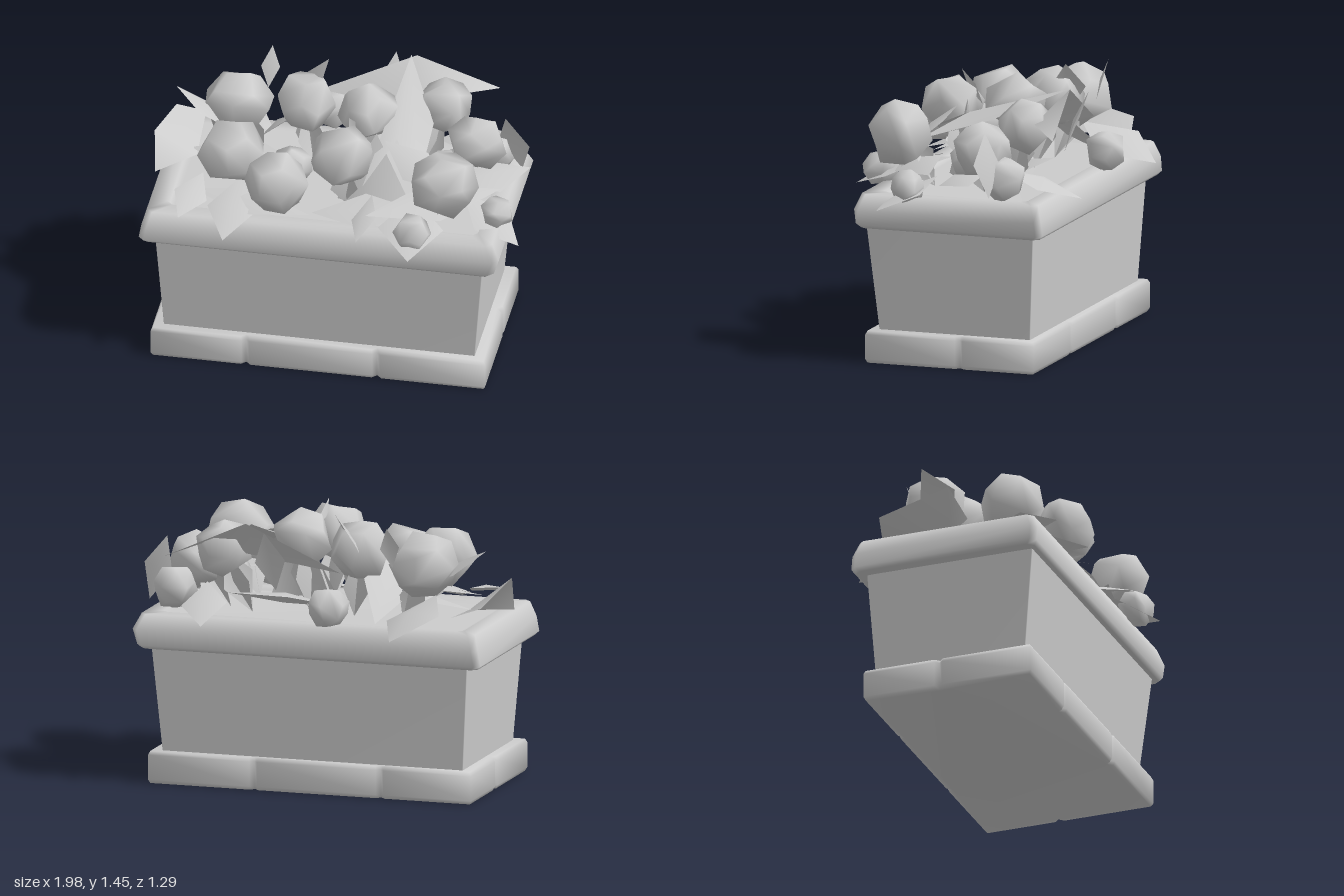
import * as THREE from 'three';
import { mergeVertices, toCreasedNormals } from 'three/addons/utils/BufferGeometryUtils.js';

const stone = new THREE.MeshStandardMaterial({ color: 0xcccccc, side: THREE.DoubleSide });
stone.name = 'pale grey';

// Smoothly shaded loft through rectangles [y, x0, x1, z0, z1] with corners cut by c
function loft(levels, c, capTop) {
  const pos = [], idx = [];
  for (const [y, x0, x1, z0, z1] of levels) {
    pos.push(x0 + c, y, z1, x1 - c, y, z1, x1, y, z1 - c, x1, y, z0 + c);
    pos.push(x1 - c, y, z0, x0 + c, y, z0, x0, y, z0 + c, x0, y, z1 - c);
  }
  for (let l = 0; l < levels.length - 1; l++) {
    for (let i = 0; i < 8; i++) {
      const a = l * 8 + i, b = l * 8 + (i + 1) % 8;
      idx.push(a, b, b + 8, a, b + 8, a + 8);
    }
  }
  const t = (levels.length - 1) * 8;
  if (capTop) for (let i = 1; i < 7; i++) idx.push(t, t + i, t + i + 1);
  const g = new THREE.BufferGeometry();
  g.setAttribute('position', new THREE.Float32BufferAttribute(pos, 3));
  g.setIndex(idx);
  g.computeVertexNormals();
  return g;
}

// Foot slab whose outline is nicked where the blocks meet
function footGeometry() {
  const x0 = -0.92, x1 = 0.825, z0 = -0.465, z1 = 0.445, n = 0.025;
  const outline = [[x0, z1]];
  for (const x of [-0.43, 0.26]) outline.push([x - n, z1], [x, z1 - n], [x + n, z1]);
  outline.push([x1, z1], [x1, -0.06 + n], [x1 - n, -0.06], [x1, -0.06 - n], [x1, z0]);
  for (const x of [0.26, -0.43]) outline.push([x + n, z0], [x, z0 + n], [x - n, z0]);
  outline.push([x0, z0], [x0, -0.06 - n], [x0 + n, -0.06], [x0, -0.06 + n]);
  const shape = new THREE.Shape(outline.map(([x, z]) => new THREE.Vector2(x, -z)));
  const g = new THREE.ExtrudeGeometry(shape, {
    depth: 0.13, bevelEnabled: true, bevelSize: 0.01, bevelThickness: 0.02, bevelSegments: 1,
  });
  g.rotateX(-Math.PI / 2);
  g.translate(0, 0.02, 0);
  return toCreasedNormals(g, 1.7);
}

// Chunky faceted bloom with smooth shading
function bloomGeometry(seed) {
  let g = new THREE.DodecahedronGeometry(1, 0);
  g.deleteAttribute('uv');
  g.deleteAttribute('normal');
  g = mergeVertices(g, 1e-3);
  const p = g.attributes.position;
  for (let i = 0; i < p.count; i++) {
    const k = 1 + 0.07 * Math.sin(i * 4.3 + seed * 2.1);
    p.setXYZ(i, p.getX(i) * k, p.getY(i) * k, p.getZ(i) * k);
  }
  g.computeVertexNormals();
  return g;
}

// Folded diamond leaf from base to tip; roll turns it about its length
function leafGeometry(base, tip, half, roll) {
  const a = new THREE.Vector3(...base), b = new THREE.Vector3(...tip);
  const dir = b.clone().sub(a).normalize();
  const side = new THREE.Vector3(0, 1, 0).cross(dir).normalize().applyAxisAngle(dir, roll);
  const up = dir.clone().cross(side);
  const mid = a.clone().lerp(b, 0.5);
  const ridge = mid.clone().addScaledVector(up, half * 0.25);
  const l = mid.clone().addScaledVector(side, half);
  const r = mid.clone().addScaledVector(side, -half);
  const g = new THREE.BufferGeometry().setFromPoints([a, l, b, r, ridge]);
  g.setIndex([0, 4, 1, 1, 4, 2, 2, 4, 3, 3, 4, 0]);
  g.computeVertexNormals();
  return g;
}

// Broad leaf fanned from its first corner
function broadLeafGeometry(corners) {
  const g = new THREE.BufferGeometry().setFromPoints(corners.map((c) => new THREE.Vector3(...c)));
  const idx = [];
  for (let i = 1; i < corners.length - 1; i++) idx.push(0, i, i + 1);
  g.setIndex(idx);
  g.computeVertexNormals();
  return g;
}

// Blooms: x, y, z, radius
const blooms = [
  [-0.59, 1.2, -0.21, 0.18], [-0.55, 1.16, 0.2, 0.175], [-0.23, 1.25, -0.19, 0.165],
  [-0.28, 1.12, 0.4, 0.165], [0.05, 1.23, 0.26, 0.17], [0.11, 1.28, -0.11, 0.16],
  [0.6, 1.18, 0.35, 0.18], [0.68, 1.14, -0.14, 0.155], [0.48, 1.24, -0.3, 0.15],
];

// Low buds on the soil and over the rim
const buds = [
  [-0.24, 1.08, 0.17, 0.11], [0.53, 1.05, 0.0, 0.1], [-0.16, 1.0, -0.51, 0.11],
  [0.46, 0.96, 0.5, 0.1], [0.85, 0.95, 0.22, 0.09], [0.75, 1.01, -0.28, 0.12],
];

// Leaves: base, tip, half width, roll
const outerLeaves = [
  [[-0.6, 1.08, -0.1], [-0.91, 1.28, -0.16], 0.1, 0.3],
  [[-0.65, 1.04, -0.2], [-0.54, 0.87, -0.65], 0.17, 0.2],
  [[-0.5, 1.0, 0.2], [-0.52, 0.87, 0.62], 0.13, 0],
  [[-0.7, 1.0, 0.2], [-0.77, 0.93, 0.54], 0.09, -0.2],
  [[0.2, 1.0, 0.25], [0.18, 0.93, 0.6], 0.07, 0.3],
  [[0.42, 1.02, 0.25], [0.46, 0.87, 0.64], 0.17, 0],
  [[0.66, 0.98, 0.12], [0.99, 0.84, 0.34], 0.12, 0.1],
  [[0.6, 0.98, 0.05], [0.96, 1.0, -0.16], 0.12, 0.2],
  [[0.9, 0.93, -0.25], [0.82, 1.26, -0.2], 0.1, 0.6],
  [[0.6, 1.03, -0.2], [0.5, 0.88, -0.62], 0.12, 0.1],
];
const innerLeaves = [
  [[0.08, 1.25, 0.08], [0.07, 1.43, 0.2], 0.03, 1.2],
  [[-0.46, 1.2, -0.35], [-0.45, 1.42, -0.42], 0.05, 0.4],
  [[-0.3, 1.15, -0.25], [-0.13, 1.45, -0.3], 0.1, 0.2],
  [[0.16, 1.05, -0.4], [0.18, 1.38, -0.54], 0.08, 0.3],
  [[0.25, 1.28, 0.15], [0.6, 1.1, 0.3], 0.1, 0.5],
  [[-0.82, 0.95, -0.1], [-0.2, 1.0, 0.05], 0.14, 0.2],
  [[-0.4, 0.92, -0.46], [-0.35, 1.2, 0], 0.12, 0.6],
  [[0.2, 1.0, 0.45], [0.85, 1.02, 0.1], 0.13, 0.3],
  [[-0.75, 0.95, 0.28], [-0.1, 0.95, 0.42], 0.1, 0.2],
  [[-0.1, 0.92, 0.35], [0.45, 0.97, 0.3], 0.12, 0.3],
  [[-0.1, 0.92, -0.1], [0.45, 1.0, -0.3], 0.15, 0.3],
];
const broadLeaves = [
  [[0.3, 1.41, -0.48], [-0.2, 1.17, -0.43], [0.3, 1.2, -0.28], [0.57, 1.27, -0.38], [0.73, 1.22, -0.54]],
  [[0.27, 1.41, -0.48], [0.17, 1.12, 0.36], [0.3, 1.25, 0.08], [0.45, 1.12, 0.3], [0.46, 1.25, -0.1]],
  [[0.2, 1.3, 0.12], [0.0, 0.9, 0.16], [0.2, 0.9, 0.22], [0.36, 0.9, 0.1]],
  [[-0.78, 0.94, -0.05], [-0.97, 0.92, 0.12], [-0.99, 1.11, 0.02], [-0.95, 1.02, -0.38], [-0.8, 0.97, -0.42]],
];

export function createModel() {
  const model = new THREE.Group();
  model.name = 'flowerPlanter';
  const add = (name, geometry) => {
    const m = new THREE.Mesh(geometry, stone);
    m.name = name;
    model.add(m);
    return m;
  };

  // Planter box
  add('foot', footGeometry());
  add('body', loft([[0.16, -0.87, 0.77, -0.43, 0.4], [0.73, -0.905, 0.82, -0.465, 0.455]], 0.004, false));
  add('rim', loft([
    [0.725, -0.88, 0.8, -0.44, 0.43], [0.72, -0.97, 0.87, -0.51, 0.48],
    [0.74, -0.99, 0.885, -0.53, 0.5], [0.82, -0.975, 0.91, -0.53, 0.5],
    [0.9, -0.95, 0.87, -0.5, 0.47], [0.9, -0.86, 0.78, -0.41, 0.38], [0.88, -0.85, 0.77, -0.4, 0.37],
  ], 0.03, true));

  // Blooms, each carried by a pair of crossed stem leaves
  const addBall = (name, [x, y, z, r], seed) => {
    const b = add(name, bloomGeometry(seed));
    b.position.set(x, y, z);
    b.scale.setScalar(r);
    b.rotation.set(seed * 0.9, seed * 1.7, seed * 0.5);
  };
  blooms.forEach((b, i) => {
    const [x, y, z] = b;
    addBall('bloom', b, i);
    for (const turn of [0, Math.PI / 2]) {
      add('stemLeaf', leafGeometry([x * 0.75, 0.88, z * 0.6], [x, y, z], 0.1, turn + i));
    }
  });
  buds.forEach((b, i) => addBall('bud', b, i + blooms.length));

  // Foliage
  for (const l of outerLeaves) add('outerLeaf', leafGeometry(...l));
  for (const l of innerLeaves) add('innerLeaf', leafGeometry(...l));
  for (const c of broadLeaves) add('broadLeaf', broadLeafGeometry(c));
  return model;
}
